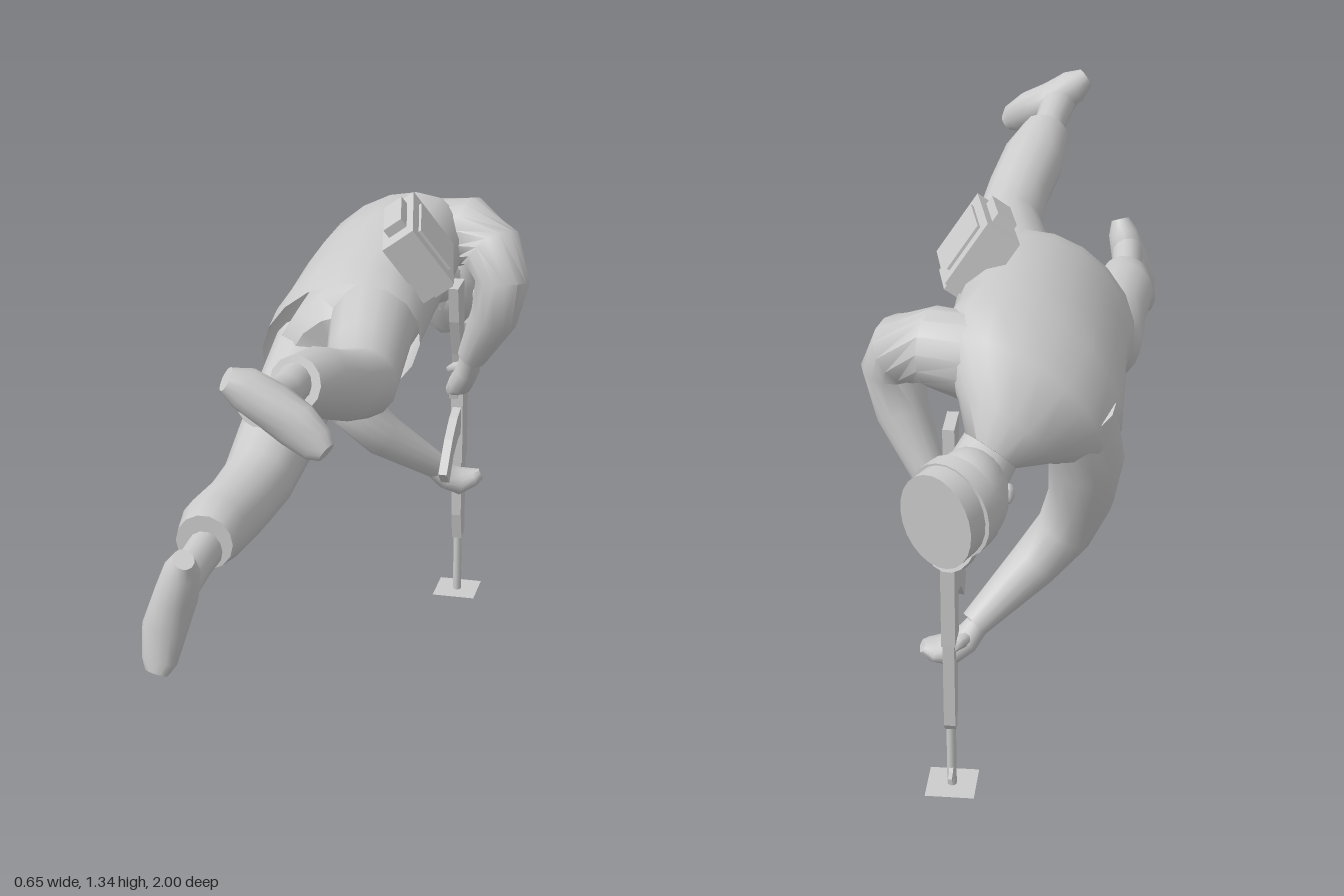
import * as THREE from 'three';
import { toCreasedNormals } from 'three/addons/utils/BufferGeometryUtils.js';

const V = (x, y, z) => new THREE.Vector3(x, y, z);

// Skin of elliptical rings. Each section is [x, y, z, radius along side, other radius].
function loft(sections, side, { seg = 14, openStart = false, crease = 0.95 } = {}) {
  const pos = [], idx = [], n = sections.length;
  const at = (i) => V(...sections[Math.min(Math.max(i, 0), n - 1)].slice(0, 3));
  sections.forEach((s, i) => {
    const t = at(i + 1).sub(at(i - 1)).normalize();
    const u = side.clone().addScaledVector(t, -side.dot(t)).normalize();
    const v = t.clone().cross(u);
    for (let j = 0; j < seg; j++) {
      const a = (j / seg) * Math.PI * 2;
      const p = at(i).addScaledVector(u, Math.cos(a) * s[3]).addScaledVector(v, Math.sin(a) * (s[4] ?? s[3]));
      pos.push(p.x, p.y, p.z);
    }
  });
  const first = n * seg, last = first + 1, end = (n - 1) * seg;
  pos.push(...at(0).toArray(), ...at(n - 1).toArray());
  for (let j = 0; j < seg; j++) {
    const k = (j + 1) % seg;
    for (let i = 0; i < n - 1; i++) {
      const a = i * seg + j, b = i * seg + k;
      idx.push(a, b, a + seg, b, b + seg, a + seg);
    }
    if (!openStart) idx.push(first, k, j);
    idx.push(last, end + j, end + k);
  }
  const g = new THREE.BufferGeometry();
  g.setAttribute('position', new THREE.Float32BufferAttribute(pos, 3));
  g.setIndex(idx);
  return toCreasedNormals(g, crease);
}

// Flat side profile of [-z, y] points, given a thickness centred on x.
function plate(points, thickness, x) {
  const shape = new THREE.Shape(points.map((p) => new THREE.Vector2(...p)));
  const g = new THREE.ExtrudeGeometry(shape, { depth: thickness, bevelEnabled: false });
  return g.rotateY(Math.PI / 2).translate(x - thickness / 2, 0, 0);
}

export function createModel() {
  const model = new THREE.Group();
  model.name = 'crouchingRifleman';
  const grey = new THREE.MeshStandardMaterial({ color: 0xcccccc, side: THREE.DoubleSide });
  grey.name = 'plain grey';
  const group = (name, parent = model) => {
    const g = new THREE.Group();
    g.name = name;
    parent.add(g);
    return g;
  };
  const add = (name, geometry, parent = model) => {
    const m = new THREE.Mesh(geometry, grey);
    m.name = name;
    parent.add(m);
    return m;
  };
  const X = V(1, 0, 0), Y = V(0, 1, 0), across = V(0.77, 0.64, 0);

  // Jacket, rolled to one side and open at the hem
  add('jacket', loft([
    [-0.09, 0.99, -0.03, 0.235, 0.175], [-0.09, 1.01, -0.1, 0.235, 0.175],
    [-0.085, 1.03, -0.22, 0.235, 0.17], [-0.09, 1.04, -0.42, 0.235, 0.17],
    [-0.085, 1.05, -0.57, 0.25, 0.165], [-0.075, 1.04, -0.66, 0.22, 0.135],
    [-0.04, 1.0, -0.72, 0.13, 0.1], [-0.01, 0.96, -0.75, 0.07, 0.07],
  ], across, { seg: 18, openStart: true }));
  add('pelvis', loft([
    [-0.09, 1.02, -0.2, 0.19, 0.13], [-0.09, 0.99, -0.05, 0.2, 0.14], [-0.09, 0.98, 0.01, 0.14, 0.1],
  ], across));

  // Trouser legs
  add('leftTrouserLeg', loft([
    [0.0, 1.06, -0.12, 0.11], [0.0, 1.06, 0, 0.11], [0.03, 1.045, 0.2, 0.098],
    [0.06, 1.05, 0.37, 0.088], [0.045, 1.09, 0.5, 0.085], [0.015, 1.14, 0.62, 0.085], [-0.01, 1.175, 0.73, 0.066],
  ], X));
  add('rightTrouserLeg', loft([
    [-0.18, 0.94, -0.12, 0.11], [-0.19, 0.89, 0, 0.105], [-0.21, 0.8, 0.17, 0.1],
    [-0.22, 0.745, 0.32, 0.09], [-0.225, 0.745, 0.48, 0.085], [-0.24, 0.75, 0.63, 0.085], [-0.24, 0.75, 0.715, 0.07],
  ], X));

  // Boots: shaft along the shin, then a foot from heel to toe
  const boots = [
    ['leftBoot', [[-0.01, 1.175, 0.68, 0.045], [-0.015, 1.18, 0.8, 0.043], [-0.035, 1.205, 0.95, 0.05]],
      [[-0.105, 1.262, 0.955, 0.028, 0.03], [-0.07, 1.24, 0.94, 0.048, 0.05], [-0.01, 1.2, 0.93, 0.052, 0.06],
        [0.05, 1.165, 0.945, 0.055, 0.045], [0.1, 1.13, 0.96, 0.045, 0.03], [0.122, 1.115, 0.968, 0.025, 0.02]]],
    ['rightBoot', [[-0.24, 0.73, 0.68, 0.045, 0.05], [-0.24, 0.73, 0.8, 0.042, 0.047], [-0.235, 0.74, 0.95, 0.045, 0.055]],
      [[-0.21, 0.825, 0.97, 0.025, 0.03], [-0.22, 0.79, 0.955, 0.043, 0.045], [-0.24, 0.72, 0.94, 0.052, 0.06],
        [-0.265, 0.64, 0.957, 0.055, 0.043], [-0.275, 0.565, 0.972, 0.045, 0.028], [-0.28, 0.537, 0.98, 0.03, 0.02]]],
  ];
  for (const [name, shaft, foot] of boots) {
    const boot = group(name);
    add('shaft', loft(shaft, X), boot);
    add('foot', loft(foot, across), boot);
  }

  // Sleeves and hands
  add('leftSleeve', loft([
    [0.03, 1.12, -0.6, 0.105], [0.14, 1.145, -0.595, 0.095], [0.215, 1.11, -0.54, 0.085],
    [0.25, 1.04, -0.495, 0.075], [0.225, 0.93, -0.51, 0.066], [0.155, 0.79, -0.57, 0.042],
  ], V(0.3, 0.2, 1)));
  add('rightSleeve', loft([
    [-0.19, 1.0, -0.61, 0.1], [-0.22, 0.86, -0.585, 0.09], [-0.205, 0.74, -0.54, 0.08],
    [-0.165, 0.625, -0.505, 0.072], [-0.09, 0.54, -0.54, 0.062], [0.045, 0.42, -0.635, 0.037],
  ], V(0.3, 0, 1)));
  const leftHand = group('leftHand');
  add('palm', loft([
    [0.155, 0.8, -0.565, 0.03], [0.14, 0.74, -0.59, 0.04, 0.033],
    [0.115, 0.69, -0.615, 0.042, 0.035], [0.085, 0.66, -0.635, 0.022, 0.018],
  ], V(0, 0, 1)), leftHand);
  add('thumb', loft([
    [0.13, 0.74, -0.61, 0.018], [0.09, 0.72, -0.65, 0.016], [0.07, 0.71, -0.665, 0.008],
  ], Y, { seg: 8 }), leftHand);
  const rightHand = group('rightHand');
  add('palm', loft([
    [0.03, 0.425, -0.625, 0.028], [0.065, 0.385, -0.655, 0.045, 0.035],
    [0.105, 0.365, -0.67, 0.045, 0.04], [0.145, 0.375, -0.685, 0.04, 0.025], [0.165, 0.385, -0.69, 0.02, 0.015],
  ], V(0, 0, 1)), rightHand);
  add('thumb', loft([
    [0.06, 0.4, -0.67, 0.018], [0.075, 0.41, -0.71, 0.016], [0.09, 0.4, -0.73, 0.008],
  ], Y, { seg: 8 }), rightHand);

  // Head, facing down
  const head = group('head');
  add('skull', new THREE.SphereGeometry(1, 20, 14).scale(0.092, 0.115, 0.12).translate(0.03, 0.89, -0.845), head);
  add('neck', loft([[-0.03, 0.98, -0.68, 0.07], [0.02, 0.92, -0.8, 0.075]], X), head);
  add('jaw', loft([
    [0.02, 0.9, -0.775, 0.065, 0.055], [0.035, 0.815, -0.785, 0.05, 0.045], [0.04, 0.785, -0.79, 0.025, 0.025],
  ], X), head);
  add('nose', new THREE.ConeGeometry(0.018, 0.05, 6).rotateX(Math.PI).translate(0.055, 0.76, -0.825), head);
  for (const s of [-1, 1]) {
    add('ear', new THREE.SphereGeometry(1, 8, 6).scale(0.015, 0.022, 0.032).translate(0.03 + s * 0.088, 0.89, -0.82), head);
  }

  // Cap with a flat crown, a raised band and a visor
  const cap = group('cap');
  add('crown', loft([[0.05, 0.892, -0.88, 0.115, 0.1], [0.092, 0.885, -0.957, 0.122, 0.097]], Y, { seg: 24 }), cap);
  add('band', loft([[0.045, 0.893, -0.87, 0.12, 0.11], [0.067, 0.889, -0.91, 0.122, 0.11]], Y, { seg: 24 }), cap);
  add('visor', loft([[0.065, 0.81, -0.853, 0.1, 0.08], [0.073, 0.815, -0.868, 0.1, 0.08]], Y, { seg: 20 }), cap);

  // Pouch on the hip, with a strap block through it
  const pouch = group('pouch');
  const length = V(0.2, -0.1, 0.97).normalize();
  const wide = V(0.58, -0.8, 0).addScaledVector(length, -V(0.58, -0.8, 0).dot(length)).normalize();
  const thick = length.clone().cross(wide);
  pouch.quaternion.setFromRotationMatrix(new THREE.Matrix4().makeBasis(wide, thick, length));
  pouch.position.set(0.08, 1.22, -0.19);
  add('pouchBody', new THREE.BoxGeometry(0.18, 0.095, 0.26), pouch);
  add('pouchStrap', new THREE.BoxGeometry(0.23, 0.055, 0.15), pouch);
  add('pouchFlap', new THREE.BoxGeometry(0.13, 0.11, 0.18), pouch);

  // Rifle, held upright with the muzzle down
  const rifle = group('rifle'), gx = 0.095;
  add('stock', plate([[0.59, 0.975], [0.685, 0.975], [0.702, 0.755], [0.72, 0.7], [0.67, 0.7], [0.652, 0.76], [0.61, 0.87]], 0.028, gx), rifle);
  add('receiver', plate([[0.702, 0.755], [0.745, 0.71], [0.745, 0.42], [0.672, 0.42], [0.668, 0.72]], 0.034, gx), rifle);
  add('handguard', plate([[0.745, 0.42], [0.74, 0.19], [0.725, 0.17], [0.697, 0.17], [0.68, 0.25], [0.675, 0.42]], 0.028, gx), rifle);
  add('magazine', plate([[0.68, 0.595], [0.62, 0.58], [0.55, 0.54], [0.468, 0.465], [0.51, 0.425], [0.57, 0.485], [0.63, 0.51], [0.68, 0.515]], 0.024, gx), rifle);
  add('grip', plate([[0.68, 0.72], [0.605, 0.68], [0.612, 0.64], [0.68, 0.67]], 0.024, gx), rifle);
  add('barrel', new THREE.CylinderGeometry(0.012, 0.012, 0.2, 10).translate(gx, 0.1, -0.711), rifle);
  add('frontSight', plate([[0.715, 0.06], [0.73, 0.045], [0.753, 0.04], [0.753, 0.026], [0.715, 0.024]], 0.01, gx), rifle);

  // Square ground plate under the muzzle
  add('basePlate', new THREE.PlaneGeometry(0.122, 0.122).rotateX(-Math.PI / 2).translate(gx, 0, -0.711));
  return model;
}
